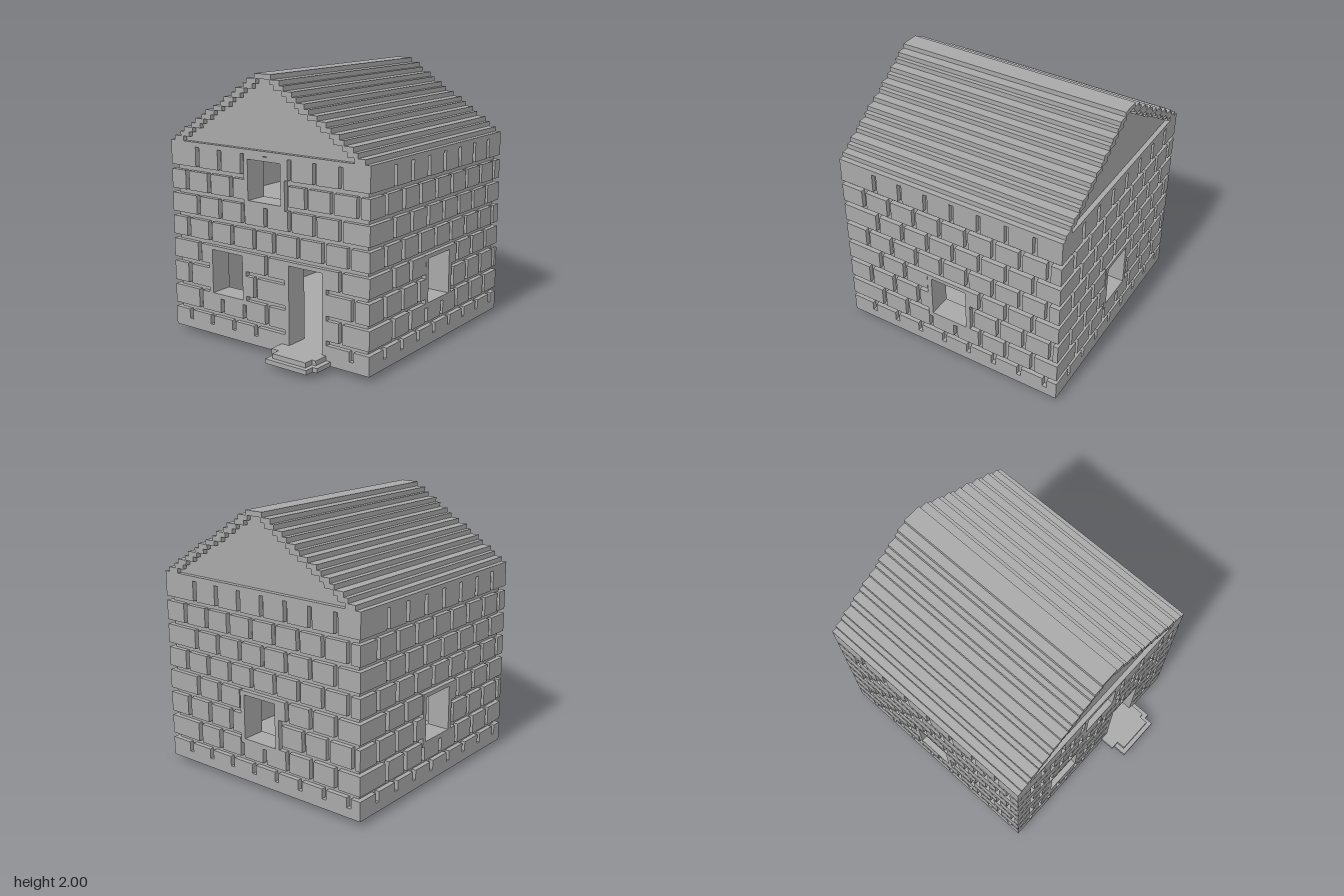
import * as THREE from 'three';
import { mergeGeometries } from 'three/addons/utils/BufferGeometryUtils.js';

const stone = new THREE.MeshStandardMaterial({ color: 0xa8a8a8 });
stone.name = 'grey stone';

const HALF = 0.89;      // half width of the square house
const JOINT = 0.035;    // mortar width and depth
const THICK = 0.14;     // wall core behind the bricks
const EAVES = 1.47;

// box given by its limits
function block(x0, x1, y0, y1, z0, z1) {
  return new THREE.BoxGeometry(x1 - x0, y1 - y0, z1 - z0)
    .translate((x0 + x1) / 2, (y0 + y1) / 2, (z0 + z1) / 2);
}

function part(name, boxes) {
  const mesh = new THREE.Mesh(mergeGeometries(boxes), stone);
  mesh.name = name;
  return mesh;
}

const inside = (r, x, y) => x > r[0] && x < r[1] && y > r[2] && y < r[3];

// slab of a wall: boxes everywhere except openings and mortar;
// a flush frame around each opening interrupts the mortar
function slab(half, z0, z1, openings, mortar) {
  const frames = openings.map(([a, b, c, d]) => [a - JOINT, b + JOINT, c - JOINT, d + 0.03]);
  const rects = [...openings, ...frames, ...mortar];
  const ys = [0.04, EAVES, ...rects.flatMap(r => [r[2], r[3]])].filter(y => y >= 0.04 && y <= EAVES);
  const xs = [-half, half, ...rects.flatMap(r => [r[0], r[1]])].filter(x => Math.abs(x) <= half);
  const uniq = a => a.sort((p, q) => p - q).filter((v, i) => i === 0 || v - a[i - 1] > 1e-5);
  const Y = uniq(ys), X = uniq(xs);
  const solid = (x, y) => !openings.some(r => inside(r, x, y)) &&
    (frames.some(r => inside(r, x, y)) || !mortar.some(r => inside(r, x, y)));

  // runs of solid cells per band; identical runs in stacked bands are joined
  const done = [];
  let open = [];
  for (let j = 0; j + 1 < Y.length; j++) {
    const y = (Y[j] + Y[j + 1]) / 2, runs = [];
    let start = null;
    for (let i = 0; i < X.length; i++) {
      const s = i + 1 < X.length && solid((X[i] + X[i + 1]) / 2, y);
      if (s && start === null) start = X[i];
      if (!s && start !== null) { runs.push([start, X[i], Y[j], Y[j + 1]]); start = null; }
    }
    for (const r of runs) {
      const below = open.find(o => o[0] === r[0] && o[1] === r[1]);
      if (below) r[2] = below[2];
    }
    done.push(...open.filter(o => !runs.some(r => r[0] === o[0] && r[1] === o[1])));
    open = runs;
  }
  done.push(...open);
  return done.map(([a, b, c, d]) => block(a, b, c, d, z0, z1));
}

// mortar rectangles from the vertical joints of eight courses
const BEDS = [0.182, 0.36, 0.545, 0.72, 0.897, 1.073, 1.252];
function mortarOf(courses) {
  const rects = BEDS.map(y => [-1, 1, y, y + JOINT]);
  courses.forEach((joints, i) => {
    const y0 = i === 0 ? 0.11 : BEDS[i - 1] + JOINT - 0.001;
    const y1 = i === 7 ? 1.435 : BEDS[i] + 0.001;
    joints.forEach(u => rects.push([u - JOINT / 2, u + JOINT / 2, y0, y1]));
  });
  return rects;
}

// one wall facing +z, then turned to its side of the house
function wall(name, angle, openings, courses, isSide) {
  const group = new THREE.Group();
  group.name = name;
  const inner = HALF - JOINT;
  group.add(part('bricks', slab(isSide ? inner : HALF, inner, HALF, openings, mortarOf(courses))));
  group.add(part('wallCore', slab(isSide ? inner - THICK : inner, inner - THICK, inner, openings, [])));
  group.rotation.y = angle;
  return group;
}

export function createModel() {
  const model = new THREE.Group();
  model.name = 'brickHouse';
  const house = new THREE.Group();
  house.name = 'house';
  house.position.z = -0.11;
  model.add(house);

  // front wall with door and two windows
  const fa = [-0.63, -0.415, -0.2, 0.01, 0.225, 0.44, 0.655];
  const frontCourses = [
    [-0.735, -0.52, -0.305, -0.095, 0.745], fa, [-0.735, -0.095, 0.76], fa,
    [-0.735, -0.52, -0.305, -0.095, 0.085, 0.3, 0.515, 0.725], fa,
    [-0.735, -0.52, -0.305, 0.194, 0.37, 0.585, 0.8], fa];
  const frontOpenings = [
    [-0.505, -0.215, 0.36, 0.69], [-0.15, 0.145, 1.105, 1.4], [0.21, 0.5, 0.108, 0.69]];
  house.add(wall('frontWall', 0, frontOpenings, frontCourses, false));

  // the other walls, each with one window
  const a = [-0.595, -0.381, -0.167, 0.047, 0.261, 0.475, 0.69];
  const b = [-0.7, -0.486, -0.272, -0.058, 0.156, 0.37, 0.584, 0.795];
  const c = [-0.7, -0.486, -0.272, 0.195, 0.41, 0.62, 0.835];
  const courses = [b, a, c, a, b, a, b, a];
  const near = [[-0.148, 0.14, 0.36, 0.69]], far = [[-0.14, 0.148, 0.36, 0.69]];
  house.add(wall('leftWall', Math.PI / 2, near, courses, true));
  house.add(wall('rightWall', -Math.PI / 2, far, courses, true));
  house.add(wall('backWall', Math.PI, far, courses, false));

  // floors and base plate
  const room = HALF - JOINT - THICK;
  [['groundFloor', 0.04, 0.108], ['upperFloor', 0.9, 1.0], ['ceiling', 1.435, EAVES]].forEach(
    ([name, y0, y1]) => house.add(part(name, [block(-room, room, y0, y1, -room, room)])));
  house.add(part('basePlate', [block(-0.713, 0.713, 0, 0.04, -0.713, 0.713)]));

  // stepped roof: planks in mirrored pairs, with a set-back gable between them
  const steps = [0.85, 0.79, 0.754, 0.68, 0.643, 0.574, 0.537, 0.463,
    0.394, 0.357, 0.288, 0.25, 0.177, 0.145, 0.073];
  const rise = (2 - EAVES) / steps.length;
  const planks = [], gable = [];
  steps.forEach((w, i) => {
    const y0 = EAVES + i * rise, y1 = y0 + rise;
    const g = w - 0.085;
    if (g <= 0) {
      planks.push(block(-w, w, y0, y1, -HALF, HALF));
      return;
    }
    planks.push(block(g, w, y0, y1, -HALF, HALF), block(-w, -g, y0, y1, -HALF, HALF));
    gable.push(block(-g, g, y0, y1, -HALF + JOINT, HALF - JOINT));
  });
  house.add(part('roofPlanks', planks), part('gable', gable));

  // door steps
  model.add(part('lowerStep', [
    block(0.175, 0.57, 0.04, 0.073, 0.78, 0.93), block(0.175, 0.533, 0.04, 0.073, 0.93, 1)]));
  model.add(part('upperStep', [
    block(0.143, 0.533, 0.073, 0.108, 0.78, 0.895), block(0.21, 0.5, 0.073, 0.108, 0.895, 0.965)]));
  return model;
}
